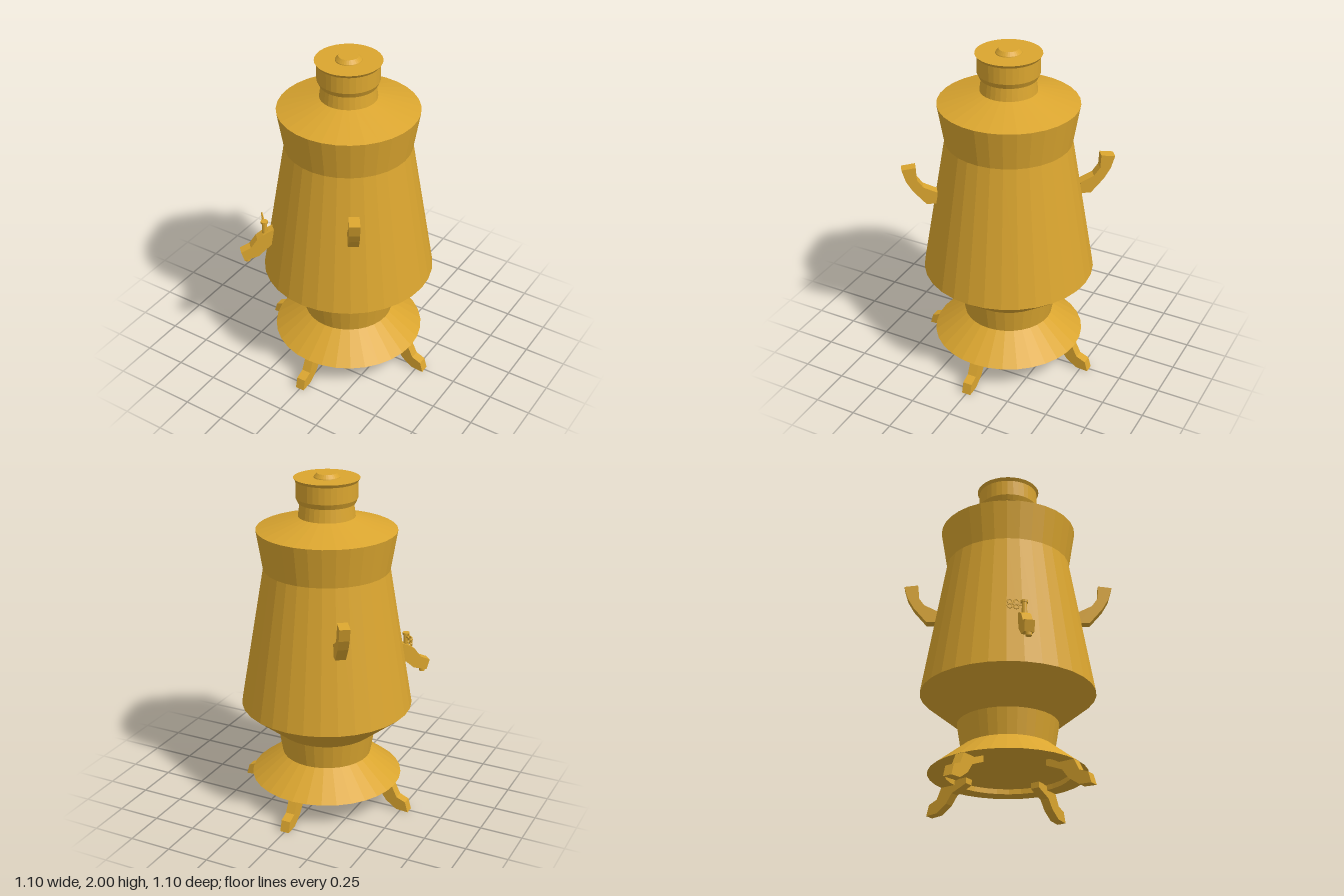
import * as THREE from 'three';

const brass = new THREE.MeshStandardMaterial({ color: 0xdaa52f, flatShading: true });

function part(name, geometry, x = 0, y = 0, z = 0) {
  const mesh = new THREE.Mesh(geometry, brass);
  mesh.name = name;
  mesh.position.set(x, y, z);
  return mesh;
}

// Turned part from [radius, height] pairs, bottom to top
function turned(name, profile, sides = 32) {
  return part(name, new THREE.LatheGeometry(profile.map(([r, y]) => new THREE.Vector2(r, y)), sides));
}

// Flat bracket with a [radius, height] outline, standing out from the axis along local +x
function bracket(name, outline, width) {
  const shape = new THREE.Shape(outline.map(([r, y]) => new THREE.Vector2(r, y)));
  const geometry = new THREE.ExtrudeGeometry(shape, { depth: width, bevelEnabled: false });
  geometry.translate(0, 0, -width / 2);
  return part(name, geometry);
}

export function createModel() {
  const model = new THREE.Group();
  model.name = 'samovar';

  // Flared foot with a shallow recess below, and its neck
  model.add(turned('base', [
    [0, 0.18], [0.355, 0.18], [0.355, 0.15], [0.45, 0.15], [0.265, 0.295], [0.29, 0.445],
  ]));

  // Tapering vessel with flared shoulder and sloping lid
  model.add(turned('body', [
    [0.29, 0.445], [0.505, 0.62], [0.365, 1.45], [0.403, 1.68], [0.163, 1.755],
  ]));

  // Chimney crown and flat cap
  model.add(turned('chimney', [
    [0.163, 1.755], [0.153, 1.83], [0.162, 1.832], [0.176, 1.862],
    [0.176, 1.957], [0.188, 1.975], [0, 1.975],
  ]));
  model.add(turned('capKnob', [[0.075, 1.973], [0.073, 1.98], [0.056, 2], [0, 2]]));

  // Four curved legs
  for (let i = 0; i < 4; i++) {
    const leg = bracket('leg', [
      [0.27, 0.19], [0.27, 0.146], [0.37, 0.105], [0.41, 0.05], [0.475, 0.005],
      [0.55, 0], [0.532, 0.063], [0.477, 0.085], [0.445, 0.152],
    ], 0.055);
    leg.rotation.y = i * Math.PI / 2;
    model.add(leg);
  }

  // Two upturned handles on opposite sides
  for (const turn of [0, Math.PI]) {
    const handle = bracket('handle', [
      [0.415, 1.145], [0.42, 1.075], [0.48, 1.075], [0.556, 1.165], [0.593, 1.23],
      [0.615, 1.305], [0.534, 1.315], [0.53, 1.235], [0.495, 1.185],
    ], 0.06);
    handle.rotation.y = turn - 0.953;
    model.add(handle);
  }

  // Tap: bent spout, outlet, valve stem and scrolled key
  const tap = new THREE.Group();
  tap.name = 'tap';
  tap.add(bracket('spout', [
    [0.45, 0.935], [0.45, 0.845], [0.545, 0.76], [0.63, 0.738],
    [0.648, 0.8], [0.59, 0.825], [0.55, 0.88], [0.515, 0.905],
  ], 0.055));
  tap.add(part('outlet', new THREE.CylinderGeometry(0.018, 0.018, 0.03, 12), 0.61, 0.738, 0));
  tap.add(part('valveStem', new THREE.CylinderGeometry(0.014, 0.016, 0.07, 12), 0.5, 0.94, 0));
  tap.add(part('valveCap', new THREE.CylinderGeometry(0.021, 0.021, 0.014, 12), 0.5, 0.978, 0));
  tap.add(part('keyBar', new THREE.BoxGeometry(0.008, 0.01, 0.06), 0.5, 0.96, 0.035));
  for (const [y, z] of [[0.975, 0.045], [0.945, 0.045], [0.973, 0.082], [0.947, 0.082]]) {
    const scroll = part('keyScroll', new THREE.TorusGeometry(0.013, 0.004, 6, 12), 0.5, y, z);
    scroll.rotation.y = Math.PI / 2;
    tap.add(scroll);
  }
  tap.rotation.y = -Math.PI * 0.75;
  model.add(tap);

  return model;
}
